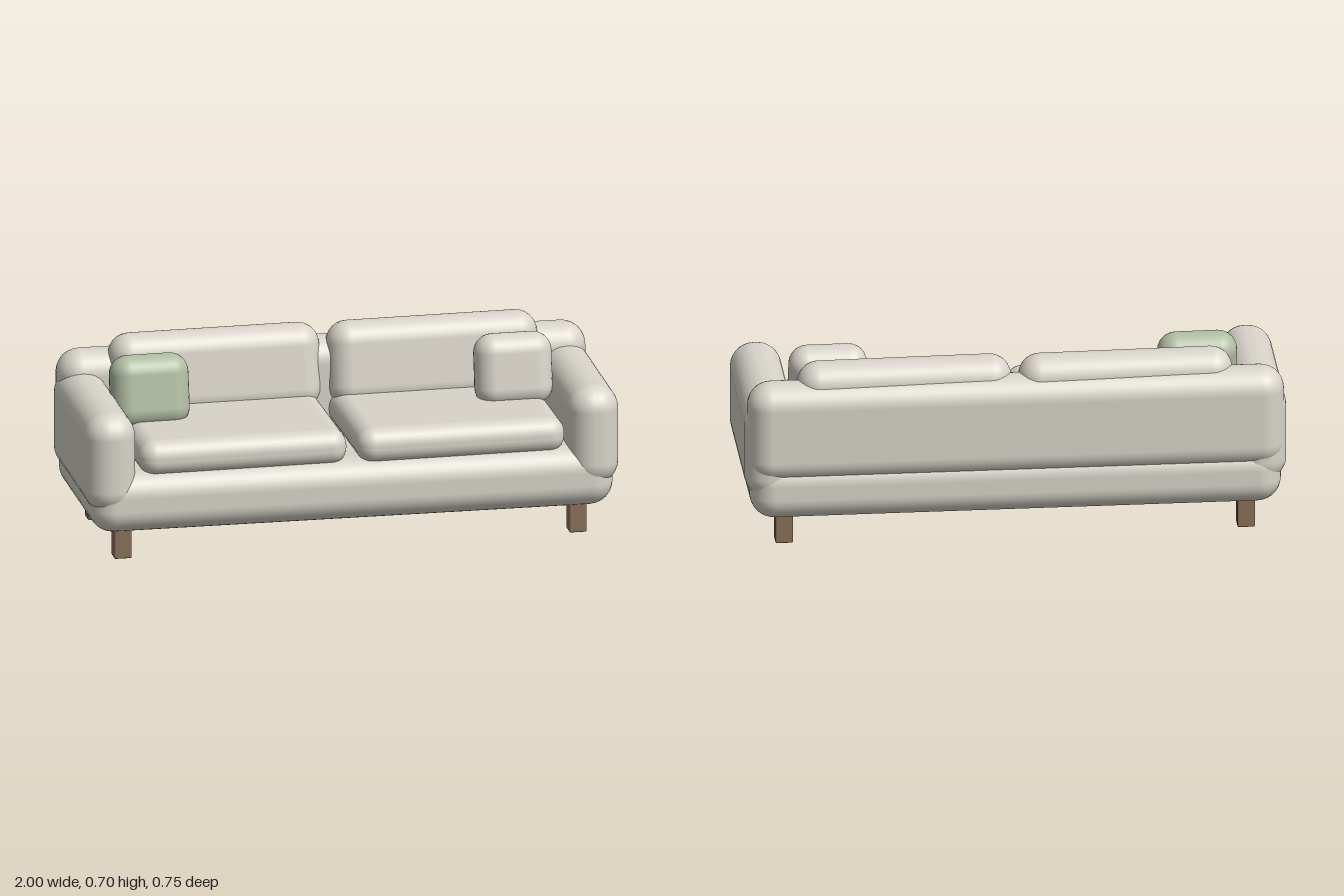
import * as THREE from 'three';
import { RoundedBoxGeometry } from 'three/addons/geometries/RoundedBoxGeometry.js';

function material(name, color) {
  const m = new THREE.MeshStandardMaterial({ color });
  m.name = name;
  return m;
}

export function createModel() {
  const fabric = material('cream fabric', 0xd8d4ca);
  const green = material('sage fabric', 0xb1bea3);
  const wood = material('brown wood', 0x8b7059);
  const sofa = new THREE.Group();
  sofa.name = 'sofa';

  // Soft block given by size, centre, corner radius and tilt
  function block(name, mat, size, centre, radius, tilt = 0, turn = 0, segments = 4) {
    const mesh = new THREE.Mesh(new RoundedBoxGeometry(...size, segments, radius), mat);
    mesh.name = name;
    mesh.position.set(...centre);
    mesh.rotation.set(tilt, turn, 0, 'YXZ');
    sofa.add(mesh);
  }

  // Frame
  block('base', fabric, [1.96, 0.23, 0.73], [0, 0.226, 0.002], 0.09);
  block('backrest', fabric, [1.98, 0.38, 0.18], [0, 0.452, -0.285], 0.088);

  // Paired parts, model's right (-x) and left (+x)
  for (const [side, s] of [['right', -1], ['left', 1]]) {
    block(side + 'Arm', fabric, [0.19, 0.38, 0.735], [s * 0.905, 0.38, 0.008], 0.09);
    block(side + 'SeatCushion', fabric, [0.78, 0.135, 0.6], [s * 0.408, 0.384, 0.035], 0.062, 0, 0.015);
    block(side + 'BackCushion', fabric, [0.79, 0.32, 0.165], [s * 0.408, 0.544, -0.235], 0.08, -0.17, 0.018);
    block(side + 'FrontLeg', wood, [0.065, 0.15, 0.067], [s * 0.852, 0.077, 0.251], 0.006, 0, 0, 2);
    block(side + 'RearLeg', wood, [0.065, 0.15, 0.067], [s * 0.852, 0.077, -0.246], 0.006, 0, 0, 2);
  }

  // Throw pillows
  block('greenPillow', green, [0.295, 0.27, 0.145], [-0.693, 0.548, -0.023], 0.07, -0.18, 0.02);
  block('creamPillow', fabric, [0.29, 0.27, 0.145], [0.67, 0.548, -0.03], 0.07, -0.16, 0.01);

  return sofa;
}
